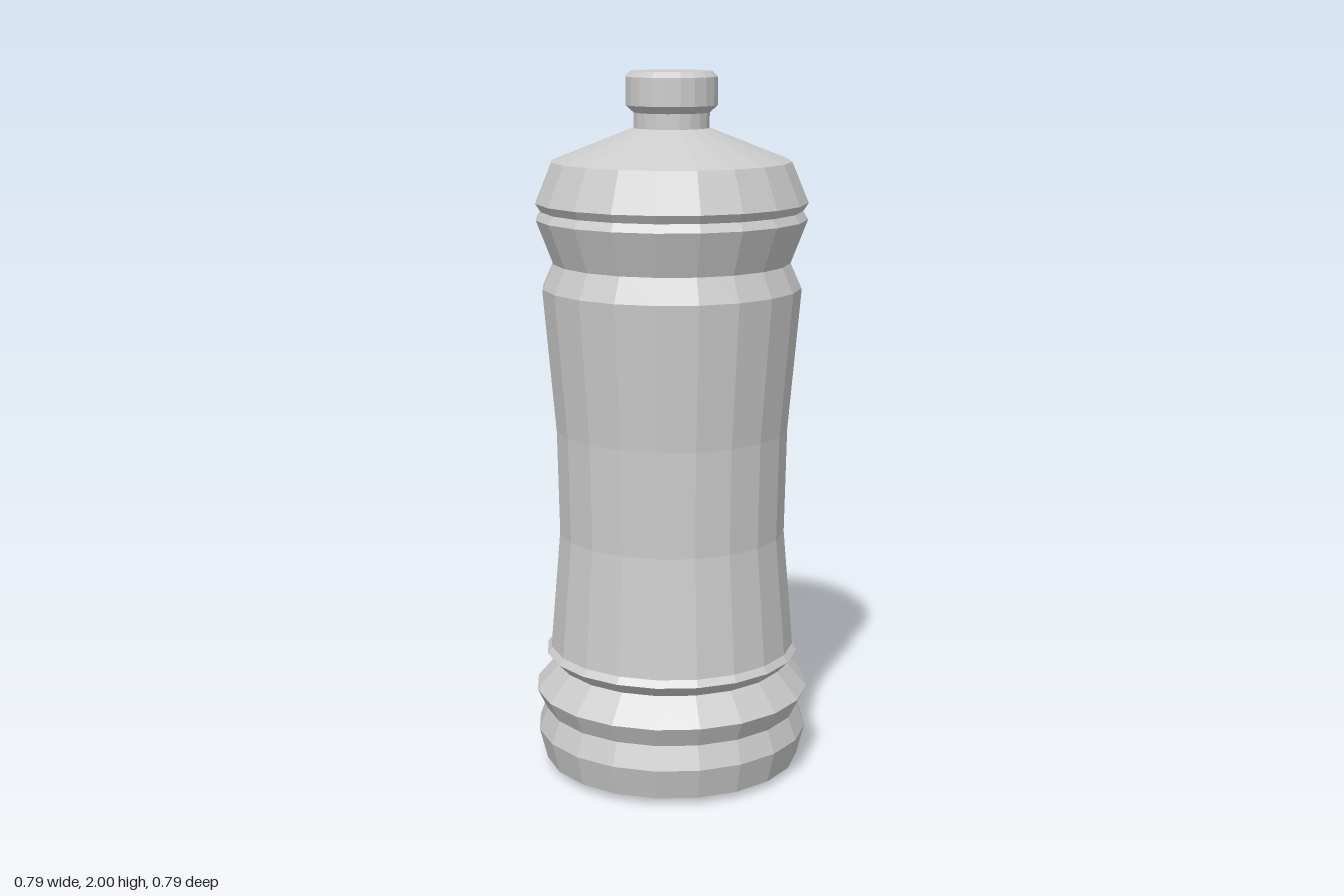
import * as THREE from 'three';

const SIDES = 20;

// Faceted surface of revolution; profile runs bottom to top as [radius, y]
function turned(name, profile, side = THREE.FrontSide) {
  const points = profile.map(([r, y]) => new THREE.Vector2(r, y));
  const material = new THREE.MeshStandardMaterial({ color: 0xcccccc, flatShading: true, side });
  const mesh = new THREE.Mesh(new THREE.LatheGeometry(points, SIDES), material);
  mesh.name = name;
  return mesh;
}

export function createModel() {
  const bottle = new THREE.Group();
  bottle.name = 'bottle';

  // Bottle shell: hollow base, lower ribs, waisted middle, upper ribs, shoulder, neck
  bottle.add(turned('body', [
    [0, 0.12], [0.315, 0.005], [0.32, 0], [0.37, 0.02],
    [0.393, 0.11], [0.369, 0.175], [0.397, 0.233],
    [0.333, 0.308], [0.366, 0.342], [0.35, 0.362],
    [0.321, 0.7], [0.327, 1.0], [0.365, 1.405],
    [0.334, 1.475], [0.381, 1.597], [0.367, 1.62], [0.382, 1.643],
    [0.335, 1.755], [0.106, 1.846], [0.106, 1.92],
  ]));

  // Thin sleeve wrapped around the waist
  bottle.add(turned('labelSleeve', [
    [0.354, 0.362], [0.325, 0.7], [0.331, 1.0], [0.366, 1.4],
  ], THREE.DoubleSide));

  // Cap with a chamfer above and below
  bottle.add(turned('cap', [
    [0.106, 1.888], [0.128, 1.908], [0.128, 1.985], [0.114, 2], [0, 2],
  ]));

  return bottle;
}
